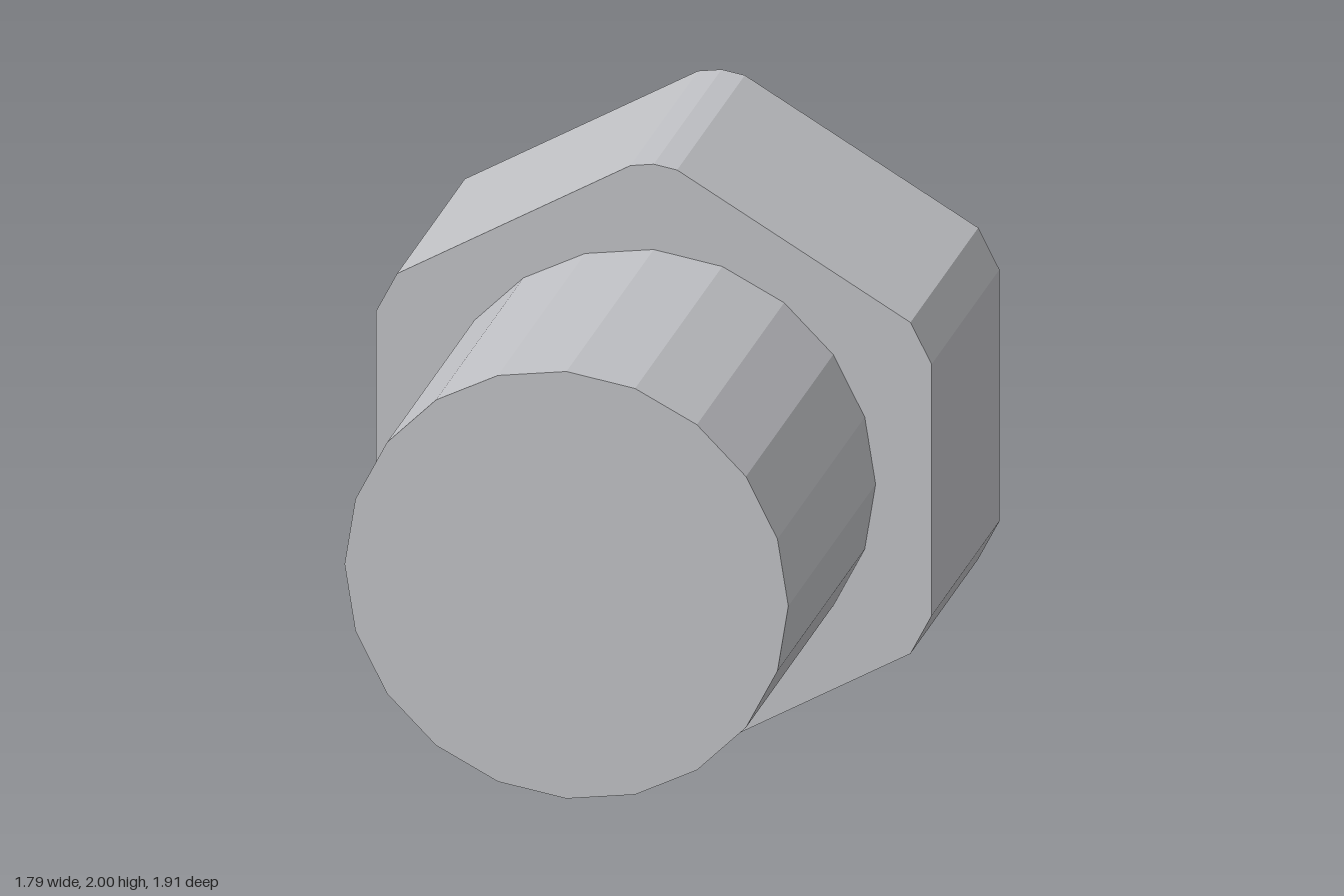
import * as THREE from 'three';

export function createModel() {
  const model = new THREE.Group();
  const steel = new THREE.MeshStandardMaterial({ color: 0xc0c1c5, flatShading: true });
  steel.name = 'steel';

  // Hexagonal head with clipped corners, extruded along z
  const quarter = [[0, 1], [0.075, 0.988], [0.825, 0.553], [0.893, 0.42]];
  const half = [...quarter, ...quarter.slice(1).reverse().map(([x, y]) => [x, -y]), [0, -1]];
  const outline = [...half, ...half.slice(1, -1).reverse().map(([x, y]) => [-x, y])];
  const shape = new THREE.Shape(outline.map(([x, y]) => new THREE.Vector2(x, y)));
  const headGeometry = new THREE.ExtrudeGeometry(shape, { depth: 0.835, bevelEnabled: false });
  const head = new THREE.Mesh(headGeometry, steel);
  head.name = 'hexHead';
  head.position.set(0, 1, -0.955);
  model.add(head);

  // Twenty-sided shank pointing forward
  const shankGeometry = new THREE.CylinderGeometry(0.713, 0.713, 1.075, 20);
  shankGeometry.rotateX(Math.PI / 2);
  const shank = new THREE.Mesh(shankGeometry, steel);
  shank.name = 'shank';
  shank.position.set(0, 1.002, 0.4175);
  model.add(shank);

  return model;
}
